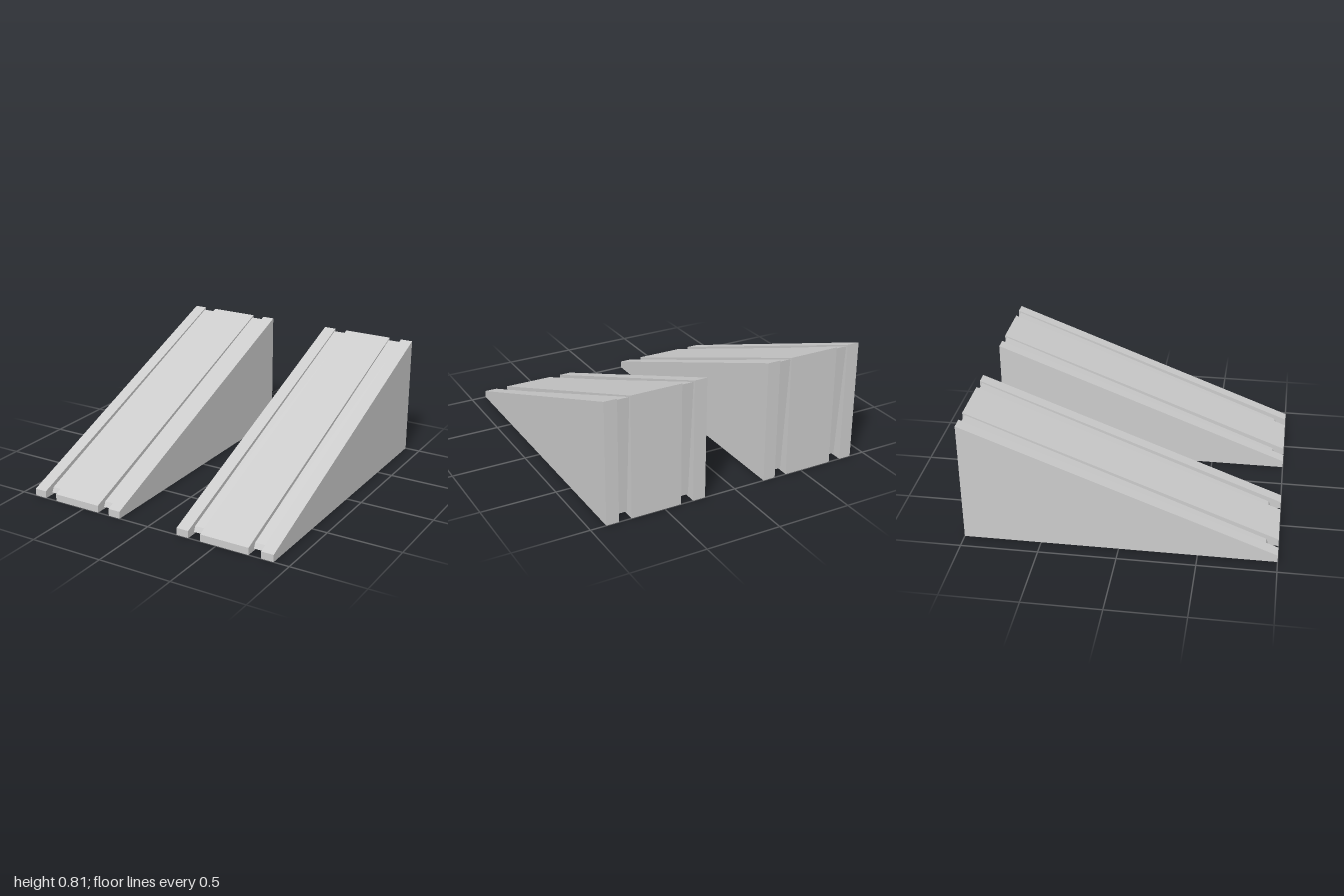
import * as THREE from 'three';

const material = new THREE.MeshStandardMaterial({ color: 0xcccccc, flatShading: true });

// side profiles as [z, y]
const RAIL = [[1, 0], [1, 0.048], [-1, 0.815], [-1, 0]];
const CHANNEL = [[0.935, 0.014], [0.92, 0.048], [-0.985, 0.8], [-0.935, 0.014]];

// prism of a side profile, centred on x
function slab(name, profile, width, x) {
  const shape = new THREE.Shape(profile.map(([z, y]) => new THREE.Vector2(z, y)));
  const geometry = new THREE.ExtrudeGeometry(shape, { depth: width, bevelEnabled: false });
  geometry.translate(0, 0, -width / 2).rotateY(-Math.PI / 2);
  const mesh = new THREE.Mesh(geometry, material);
  mesh.name = name;
  mesh.position.x = x;
  return mesh;
}

// one wedge ramp: centre deck, two recessed channels, two edge rails
function createRamp(name, x) {
  const ramp = new THREE.Group();
  ramp.name = name;
  ramp.add(slab('centreDeck', RAIL, 0.34, 0));
  for (const [side, s] of [['left', 1], ['right', -1]]) {
    ramp.add(slab(side + 'Channel', CHANNEL, 0.085, s * 0.2125));
    ramp.add(slab(side + 'Rail', RAIL, 0.085, s * 0.2975));
  }
  ramp.position.x = x;
  return ramp;
}

export function createModel() {
  const model = new THREE.Group();
  model.name = 'rampPair';
  model.add(createRamp('leftRamp', 0.556), createRamp('rightRamp', -0.556));
  return model;
}
